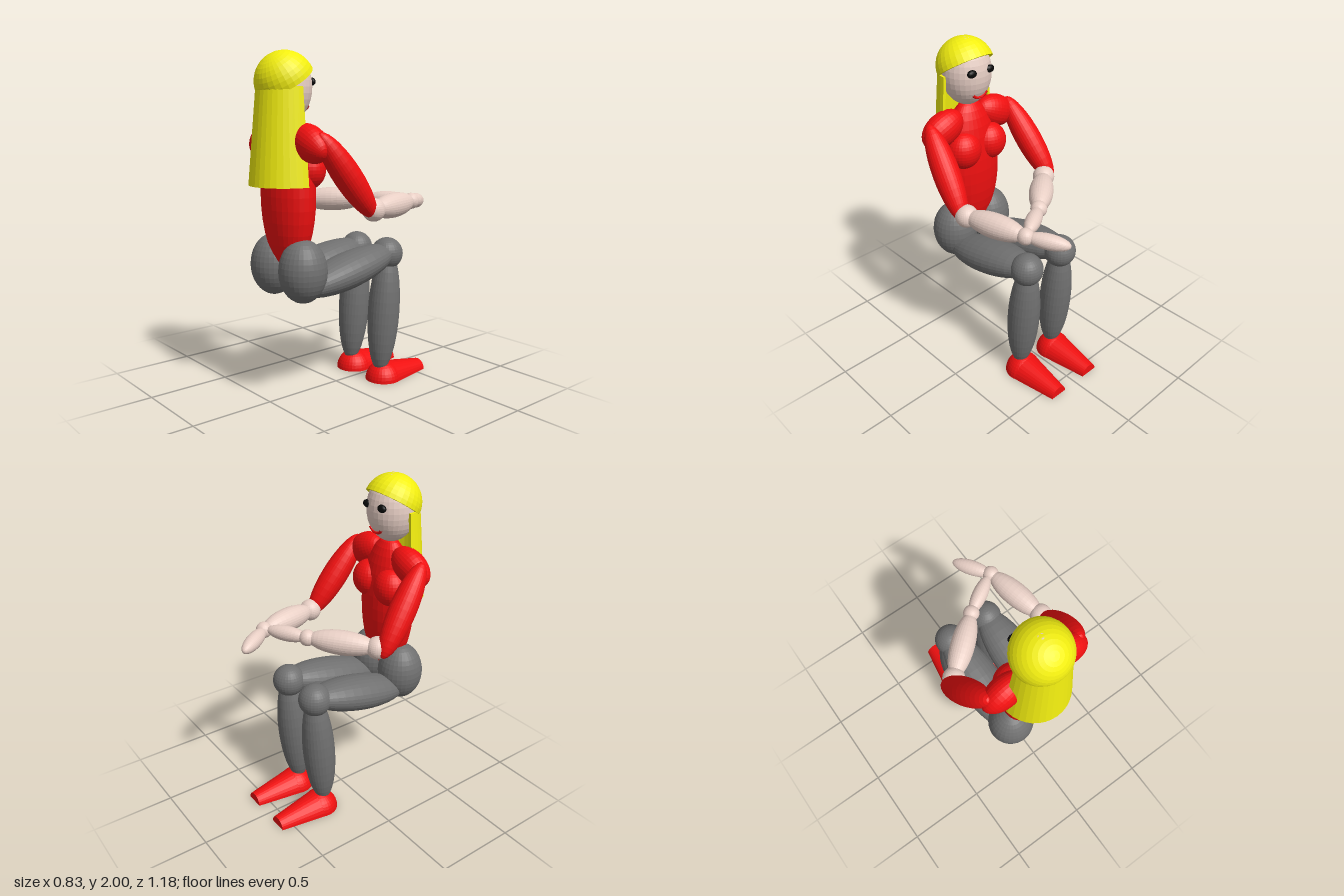
import * as THREE from 'three';

const mat = (color) => new THREE.MeshStandardMaterial({ color, flatShading: true, side: THREE.DoubleSide });
const V = (p) => new THREE.Vector3(...p);
const UP = new THREE.Vector3(0, 1, 0);

export function createModel() {
  const model = new THREE.Group();
  model.name = 'seatedFigure';
  const red = mat(0xf01010), grey = mat(0x707070), skin = mat(0xe8cfc5), yellow = mat(0xf2ee10), black = mat(0x0a0a0a);

  const add = (name, geometry, material, parent = model) => {
    const mesh = new THREE.Mesh(geometry, material);
    mesh.name = name;
    parent.add(mesh);
    return mesh;
  };
  // Ellipsoid from centre and radii
  const ball = (name, material, centre, radii) => {
    const mesh = add(name, new THREE.SphereGeometry(1, 30, 18), material);
    mesh.position.set(...centre);
    mesh.scale.set(...radii);
    return mesh;
  };
  // Ellipsoid stretched between two points
  const limb = (name, material, from, to, rx, rz = rx) => {
    const a = V(from), b = V(to), d = b.clone().sub(a);
    const mesh = ball(name, material, a.clone().add(b).multiplyScalar(0.5).toArray(), [rx, d.length() / 2, rz]);
    mesh.quaternion.setFromUnitVectors(UP, d.normalize());
    return mesh;
  };

  const CX = 0.012; // the body's own middle

  // Torso and head
  ball('torso', red, [CX, 1.2, 0.363], [0.195, 0.43, 0.132]);
  ball('head', skin, [CX, 1.8, 0.375], [0.15, 0.2, 0.15]);

  // Smile, following the surface of the face
  const smile = [];
  for (let i = 0; i <= 8; i++) {
    const t = Math.PI * (1.12 + 0.76 * i / 8);
    const x = 0.055 * Math.cos(t), y = -0.085 + 0.045 * Math.sin(t);
    const z = -0.15 * Math.sqrt(1 - (x / 0.15) ** 2 - (y / 0.2) ** 2);
    smile.push(V([CX + x, 1.8 + y, 0.375 + z]));
  }
  add('mouth', new THREE.TubeGeometry(new THREE.CatmullRomCurve3(smile), 20, 0.009, 8), red);

  // Hair: tilted half-dome shell
  const dome = [];
  for (let i = 0; i <= 10; i++) {
    const t = (i / 10) * Math.PI / 2;
    dome.push(new THREE.Vector2(0.171 * Math.sin(t), 0.171 * Math.cos(t)));
  }
  for (let i = 10; i >= 0; i--) {
    const t = (i / 10) * Math.PI / 2;
    dome.push(new THREE.Vector2(0.154 * Math.sin(t), 0.154 * Math.cos(t)));
  }
  const cap = add('hairCap', new THREE.LatheGeometry(dome, 30), yellow);
  cap.position.set(CX, 1.829, 0.377);
  cap.rotation.x = 0.575;

  // Hair: flared half shell down the back
  const strip = [[0.164, 1.8], [0.212, 1.26], [0.193, 1.26], [0.145, 1.8], [0.164, 1.8]].map((p) => new THREE.Vector2(...p));
  const backHair = new THREE.Group();
  backHair.name = 'backHair';
  backHair.position.set(CX, 0, 0.375);
  model.add(backHair);
  add('hairCurtain', new THREE.LatheGeometry(strip, 18, -Math.PI / 2, Math.PI), yellow, backHair);
  for (const s of [-1, 1]) {
    add('hairEdge', new THREE.ShapeGeometry(new THREE.Shape(strip)), yellow, backHair).scale.x = s;
  }

  // Parts that mirror across the body
  for (const s of [-1, 1]) {
    const x = (d) => CX + s * d;
    const side = s > 0 ? 'left' : 'right';
    ball(side + 'Eye', black, [x(0.065), 1.83, 0.244], [0.032, 0.023, 0.02]);
    ball(side + 'Breast', red, [x(0.1), 1.35, 0.3], [0.11, 0.115, 0.1]);
    limb(side + 'Shoulder', red, [x(0.065), 1.555, 0.355], [x(0.335), 1.44, 0.365], 0.1, 0.085);

    // Legs
    ball(side + 'Hip', grey, [x(0.139), 0.783, 0.367], [0.14, 0.182, 0.139]);
    limb(side + 'Thigh', grey, [x(0.139), 0.665, 0.38], [x(0.139), 0.82, -0.32], 0.137, 0.104);
    ball(side + 'Knee', grey, [x(0.139), 0.803, -0.283], [0.098, 0.098, 0.098]);
    limb(side + 'Shin', grey, [x(0.139), 0.83, -0.29], [x(0.139), 0.05, -0.232], 0.098);

    // Shoe: half dome heel, half cone toe, flat sole
    const shoe = new THREE.Group();
    shoe.name = side + 'Shoe';
    shoe.position.set(x(0.139), 0, -0.262);
    model.add(shoe);
    add('heel', new THREE.SphereGeometry(0.111, 30, 9, 0, Math.PI * 2, 0, Math.PI / 2), red, shoe);
    const toe = add('toe', new THREE.CylinderGeometry(0.057, 0.111, 0.313, 15, 1, false, -Math.PI / 2, Math.PI), red, shoe);
    toe.rotation.x = -Math.PI / 2;
    toe.position.z = -0.1565;
    const sole = new THREE.Shape();
    sole.moveTo(-0.057, 0.313).lineTo(-0.111, 0).absarc(0, 0, 0.111, Math.PI, Math.PI * 2).lineTo(0.057, 0.313);
    add('sole', new THREE.ShapeGeometry(sole, 15), red, shoe).rotation.x = -Math.PI / 2;
  }

  // Arms: each side has its own pose
  const arms = [
    { side: 'right', top: [-0.285, 1.555, 0.365], bottom: [-0.36, 1.08, 0.02], elbow: [-0.302, 1.12, 0.035],
      wrist: [0.012, 1.135, -0.233], tip: [0.235, 1.14, -0.37] },
    { side: 'left', top: [0.305, 1.555, 0.37], bottom: [0.36, 1.08, 0.02], elbow: [0.345, 1.12, 0.012],
      wrist: [0.258, 1.13, -0.377], tip: [0.125, 1.105, -0.592] },
  ];
  for (const a of arms) {
    limb(a.side + 'UpperArm', red, a.top, a.bottom, 0.08);
    ball(a.side + 'Elbow', skin, a.elbow, [0.067, 0.067, 0.067]);
    limb(a.side + 'Forearm', skin, a.elbow, a.wrist, 0.073);
    ball(a.side + 'Wrist', skin, a.wrist, [0.049, 0.049, 0.049]);
    limb(a.side + 'Hand', skin, a.wrist, a.tip, 0.046);
  }
  return model;
}
